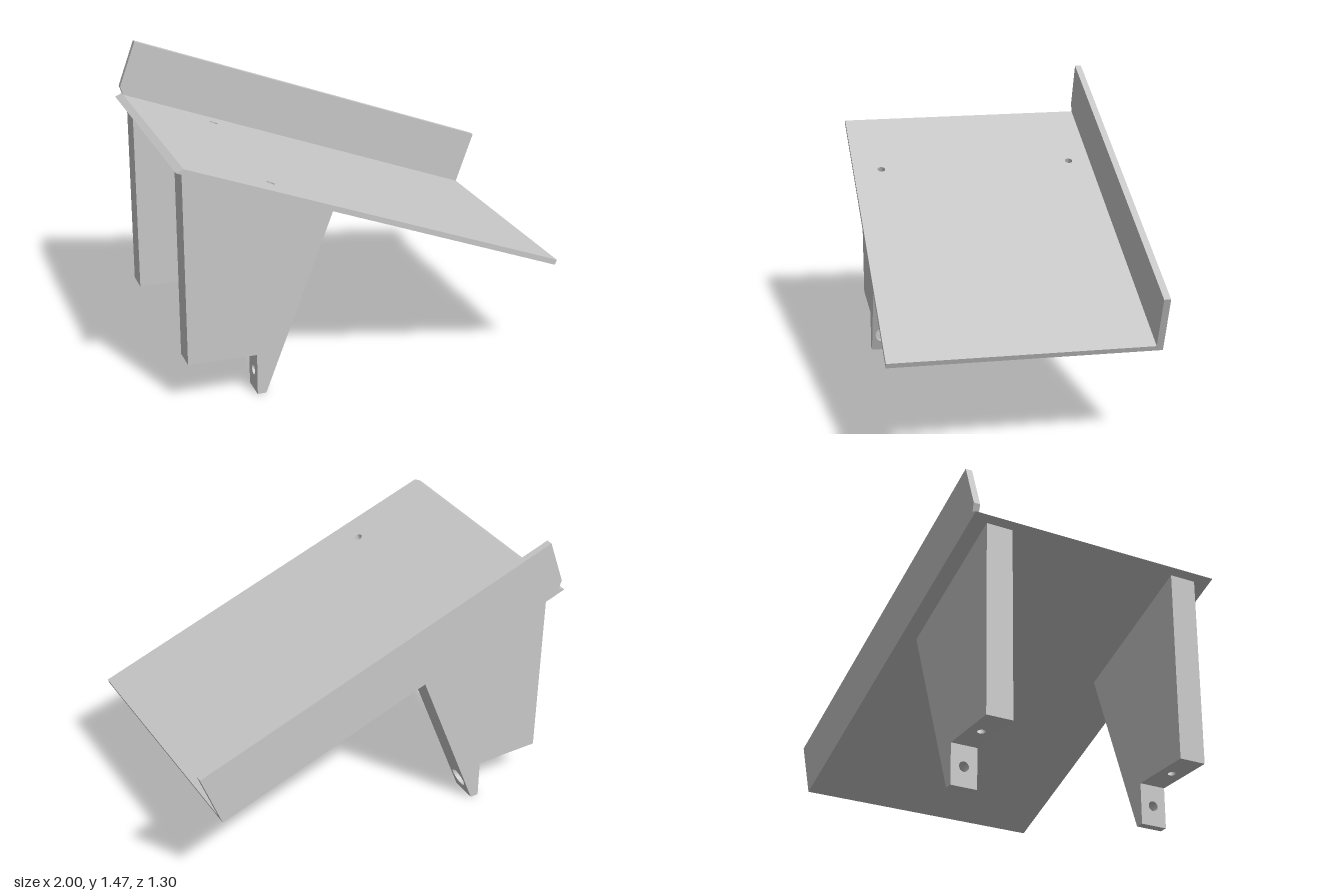
import * as THREE from 'three';
import { mergeGeometries, toCreasedNormals } from 'three/addons/utils/BufferGeometryUtils.js';

const TILT = THREE.MathUtils.degToRad(20);
const LENGTH = 2.016, HEIGHT = 0.308, HALF_DEPTH = 0.65;
const PLATE = 0.027, FLANGE = 0.033, TOP_Y = 1.184;
const LEG_Z = 0.504, LEG_W = 0.134, SEGMENTS = 32;

const under = x => TOP_Y - (x + 1) * Math.tan(TILT); // underside of the tilted plate
const dir = (x, y) => new THREE.Vector3(x, y, 0).normalize();

// ellipse of points: radius rs along d (in the xy plane), radius rz along z
function ring(x, y, d, rs, rz) {
  return Array.from({ length: SEGMENTS + 1 }, (_, i) => {
    const a = i / SEGMENTS * Math.PI * 2;
    return new THREE.Vector3(x, y, 0).addScaledVector(d, rs * Math.cos(a))
      .add(new THREE.Vector3(0, 0, rz * Math.sin(a)));
  });
}

// wall of a bore between two rings
function bore(r1, r2) {
  const geo = new THREE.BufferGeometry().setFromPoints([...r1, ...r2]);
  const index = [], n = r1.length;
  for (let i = 0; i < n - 1; i++) index.push(i, i + n, i + 1, i + 1, i + n, i + n + 1);
  geo.setIndex(index);
  geo.computeVertexNormals();
  return geo.toNonIndexed();
}

// flat strip over a profile edge, with optional bore opening
function strip(a, b, hole) {
  const d = dir(b[0] - a[0], b[1] - a[1]), z = new THREE.Vector3(0, 0, 1);
  const origin = new THREE.Vector3(a[0], a[1], 0);
  const len = Math.hypot(b[0] - a[0], b[1] - a[1]), h = LEG_W / 2;
  const shape = new THREE.Shape([[0, -h], [len, -h], [len, h], [0, h]].map(p => new THREE.Vector2(...p)));
  if (hole) {
    shape.holes.push(new THREE.Path(hole.slice(0, -1).map(p =>
      new THREE.Vector2(p.clone().sub(origin).dot(d), p.z))));
  }
  const m = new THREE.Matrix4().makeBasis(d, z, d.clone().cross(z)).setPosition(origin);
  return new THREE.ShapeGeometry(shape).applyMatrix4(m).toNonIndexed();
}

function legGeometry() {
  const p = [[-0.957, 0.205], [-0.62, 0.205], [-0.62, 0], [-0.577, 0], [-0.23, under(-0.23)], [-0.957, under(-0.957)]];
  const up = dir(0, 1), along = dir(1, 0), slope = dir(p[4][0] - p[3][0], p[4][1]);

  // horizontal bore with a counterbore on the sloped face
  const y = 0.1, r = 0.025, R = 0.049, seat = -0.58;
  const back = ring(-0.62, y, up, r, r), inner = ring(seat, y, up, r, r), outer = ring(seat, y, up, R, R);
  const mouth = ring(p[3][0] + y * slope.x / slope.y, y, slope, R / slope.y, R);

  // slanted bore from the plate to the ledge
  const hx = -1 + 0.501 * Math.cos(TILT), hr = 0.02;
  const top = ring(hx, under(hx), dir(Math.cos(TILT), -Math.sin(TILT)), hr, hr);
  const ledge = ring(-0.788, 0.205, along, hr / Math.cos(TILT), hr);

  const side = new THREE.ShapeGeometry(new THREE.Shape(p.map(q => new THREE.Vector2(...q))));
  return mergeGeometries([
    side.clone().translate(0, 0, LEG_W / 2).toNonIndexed(),
    side.clone().rotateY(Math.PI).scale(-1, 1, 1).translate(0, 0, -LEG_W / 2).toNonIndexed(),
    strip(p[0], p[1], ledge), strip(p[1], p[2], back), strip(p[2], p[3]),
    strip(p[3], p[4], mouth), strip(p[5], p[0]),
    bore(back, inner), bore(outer, mouth), bore(top, ledge),
    new THREE.RingGeometry(r, R, SEGMENTS).rotateY(Math.PI / 2).translate(seat, y, 0).toNonIndexed(),
  ].map(g => { g.deleteAttribute('uv'); return g; }));
}

function plateGeometry() {
  const shape = new THREE.Shape([[0, -HALF_DEPTH], [LENGTH, -HALF_DEPTH], [LENGTH, HALF_DEPTH], [0, HALF_DEPTH]]
    .map(q => new THREE.Vector2(...q)));
  for (const s of [-1, 1]) shape.holes.push(new THREE.Path().absarc(0.501, s * LEG_Z, 0.02, 0, Math.PI * 2, true));
  const geo = new THREE.ExtrudeGeometry(shape, { depth: PLATE, bevelEnabled: false, curveSegments: SEGMENTS });
  geo.rotateX(-Math.PI / 2);
  // chamfer the upper end
  const pos = geo.attributes.position;
  for (let i = 0; i < pos.count; i++) {
    if (pos.getX(i) < 0.001 && pos.getY(i) > PLATE / 2) pos.setX(i, PLATE);
  }
  return toCreasedNormals(geo, 0.5);
}

export function createModel() {
  const grey = new THREE.MeshStandardMaterial({ color: 0xc8c8c8, side: THREE.DoubleSide });
  grey.name = 'lightGrey';
  const model = new THREE.Group();
  model.name = 'angledStand';

  const tray = new THREE.Group();
  tray.name = 'tray';
  tray.position.set(-1, TOP_Y, 0);
  tray.rotation.z = -TILT;
  model.add(tray);

  const plate = new THREE.Mesh(plateGeometry(), grey);
  plate.name = 'plate';
  tray.add(plate);

  // upright flange along the back, notched at its lower corner
  const outline = [[PLATE, PLATE], [LENGTH, PLATE], [LENGTH, HEIGHT], [0, HEIGHT], [0, 0.062]];
  const flange = new THREE.Mesh(new THREE.ExtrudeGeometry(
    new THREE.Shape(outline.map(q => new THREE.Vector2(...q))), { depth: FLANGE, bevelEnabled: false }), grey);
  flange.name = 'backFlange';
  flange.position.z = -HALF_DEPTH;
  tray.add(flange);

  // pair of legs
  const legGeo = legGeometry();
  for (const s of [-1, 1]) {
    const leg = new THREE.Mesh(legGeo, grey);
    leg.name = s > 0 ? 'frontLeg' : 'backLeg';
    leg.position.z = s * LEG_Z;
    model.add(leg);
  }
  return model;
}
